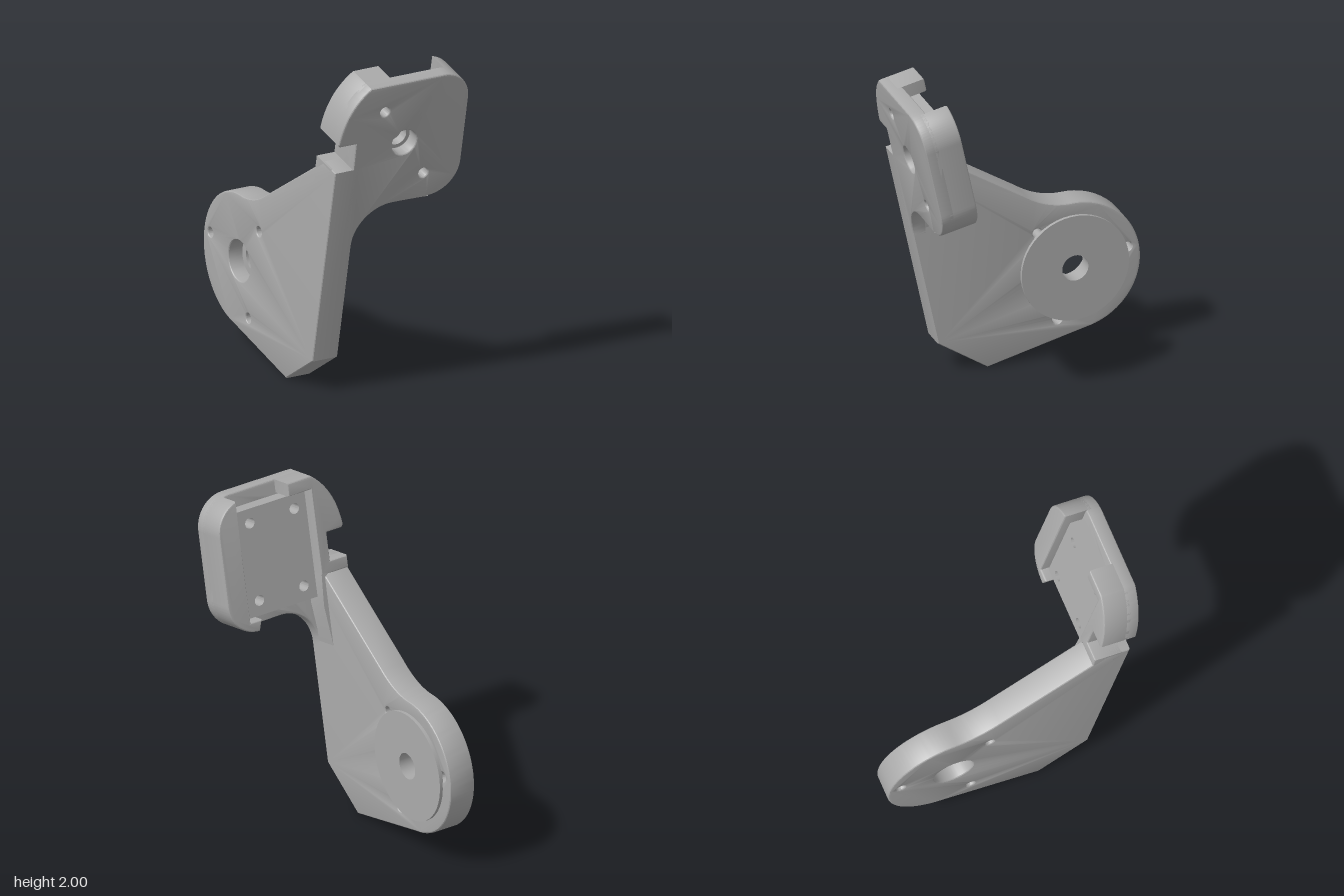
import * as THREE from 'three';
import { toCreasedNormals } from 'three/addons/utils/BufferGeometryUtils.js';

const grey = new THREE.MeshStandardMaterial({ color: 0xaaaaaa });
grey.name = 'machined grey';

// Extrude a shape between two depths, with softened edges kept inside the outline
function slab(shape, from, to, bevel = 0) {
  return new THREE.ExtrudeGeometry(shape, {
    depth: to - from - 2 * bevel, curveSegments: 24,
    bevelEnabled: bevel > 0, bevelSize: bevel, bevelThickness: bevel,
    bevelOffset: -bevel, bevelSegments: 3,
  }).translate(0, 0, from + bevel);
}

function hole(shape, x, y, r) {
  shape.holes.push(new THREE.Path().absarc(x, y, r, 0, Math.PI * 2, true));
}

function ring(x, y, outer, inner) {
  const s = new THREE.Shape().absarc(x, y, outer, 0, Math.PI * 2, false);
  hole(s, x, y, inner);
  return s;
}

function polygon(points) {
  return new THREE.Shape(points.map(([x, y]) => new THREE.Vector2(x, y)));
}

export function createModel() {
  const model = new THREE.Group();
  const bracket = new THREE.Group();
  bracket.name = 'bracket';
  bracket.rotation.set(THREE.MathUtils.degToRad(12), THREE.MathUtils.degToRad(13.2), 0, 'YXZ');
  model.add(bracket);

  const add = (name, geometry) => {
    const mesh = new THREE.Mesh(toCreasedNormals(geometry, 0.5), grey);
    mesh.name = name;
    bracket.add(mesh);
  };
  // Parts drawn in side profile: shape x runs backwards, extrusion runs across
  const addSide = (name, geometry) => add(name, geometry.rotateY(Math.PI / 2));

  // Arm: long side plate with a round pivot end
  const cx = 0.565, cy = 0.442, R = 0.408, deg = Math.PI / 180;
  const arm = new THREE.Shape();
  arm.moveTo(-0.325, 1.535);
  arm.lineTo(-0.325, 0.274);
  arm.lineTo(-0.068, 0.015);
  arm.lineTo(cx - 0.02, cy - R);
  arm.absarc(cx, cy, R, -90 * deg, 80 * deg, false);
  arm.quadraticCurveTo(0.49, 0.868, 0.373, 0.994);
  arm.lineTo(0.051, 1.308);
  arm.lineTo(-0.14, 1.495);
  arm.lineTo(-0.18, 1.535);
  hole(arm, cx, cy, 0.122);
  for (const a of [0, 120, 240]) {
    hole(arm, cx + 0.335 * Math.cos(a * deg), cy + 0.335 * Math.sin(a * deg), 0.028);
  }
  addSide('arm', slab(arm, -0.404, -0.235, 0.012));

  // Raised pivot face and the narrower bore behind it
  addSide('pivotDisc', slab(ring(cx, cy, 0.33, 0.08), -0.238, -0.215));
  addSide('pivotBore', slab(ring(cx, cy, 0.125, 0.08), -0.31, -0.22));

  // Front wall of the mount, filleted into the arm
  const wall = new THREE.Shape();
  wall.moveTo(-0.3, 1.0);
  wall.lineTo(-0.235, 1.0);
  wall.absarc(0.01, 1.01, 0.245, Math.PI, Math.PI / 2, true);
  wall.lineTo(0.25, 1.255);
  wall.absarc(0.24, 1.455, 0.2, -Math.PI / 2, 0, false);
  wall.lineTo(0.44, 1.86);
  wall.absarc(0.25, 1.875, 0.19, 0, Math.PI / 2, false);
  wall.lineTo(-0.226, 2.065);
  wall.quadraticCurveTo(-0.38, 1.95, -0.404, 1.72);
  wall.lineTo(-0.39, 1.705);
  wall.lineTo(-0.287, 1.705);
  wall.lineTo(-0.287, 1.535);
  wall.lineTo(-0.3, 1.52);
  hole(wall, 0.04, 1.654, 0.08);
  hole(wall, -0.115, 1.889, 0.03);
  hole(wall, 0.195, 1.419, 0.03);
  add('mountWall', slab(wall, 0.236, 0.325, 0.012));

  // Right-hand rim, wrapping under the lower corner
  const outerRim = new THREE.Shape();
  outerRim.moveTo(0.22, 1.255);
  outerRim.absarc(0.24, 1.455, 0.2, -Math.PI / 2, 0, false);
  outerRim.lineTo(0.44, 1.86);
  outerRim.absarc(0.25, 1.875, 0.19, 0, 75 * deg, false);
  outerRim.lineTo(0.298, 1.32);
  outerRim.lineTo(0.22, 1.32);
  add('outerRim', slab(outerRim, 0.1, 0.28, 0.012));

  // Arm-side rim with the cable slot and the top corner block
  const innerRim = new THREE.Shape();
  innerRim.moveTo(-0.404, 1.72);
  innerRim.lineTo(-0.39, 1.705);
  innerRim.lineTo(-0.287, 1.705);
  innerRim.lineTo(-0.287, 1.535);
  innerRim.lineTo(-0.404, 1.535);
  innerRim.lineTo(-0.404, 1.46);
  innerRim.lineTo(-0.215, 1.46);
  innerRim.lineTo(-0.215, 1.985);
  innerRim.lineTo(-0.06, 1.985);
  innerRim.lineTo(-0.06, 2.065);
  innerRim.lineTo(-0.226, 2.065);
  innerRim.quadraticCurveTo(-0.38, 1.95, -0.404, 1.72);
  add('innerRim', slab(innerRim, 0.1, 0.28, 0.012));

  // Sloping rib where the arm meets the mount
  const rib = polygon([[-0.25, 1.03], [-0.235, 1.03], [-0.205, 1.28], [-0.215, 1.47], [-0.25, 1.47]]);
  add('cornerRib', slab(rib, 0.1, 0.26));

  // Mounting pad on the back, with four screw holes and a blind centre bore
  const padLayer = (bore) => {
    const s = polygon([[-0.197, 1.33], [0.285, 1.33], [0.285, 1.975], [-0.197, 1.975]]);
    for (const x of [-0.115, 0.195]) for (const y of [1.419, 1.889]) hole(s, x, y, 0.032);
    if (bore) hole(s, 0.04, 1.654, 0.06);
    return s;
  };
  add('mountPadFront', slab(padLayer(true), 0.185, 0.24));
  add('mountPadBack', slab(padLayer(false), 0.145, 0.185));

  // Stand on the ground, centred
  model.updateMatrixWorld(true);
  const box = new THREE.Box3().setFromObject(model, true);
  const c = box.getCenter(new THREE.Vector3());
  bracket.position.set(-c.x, -box.min.y, -c.z);
  return model;
}
